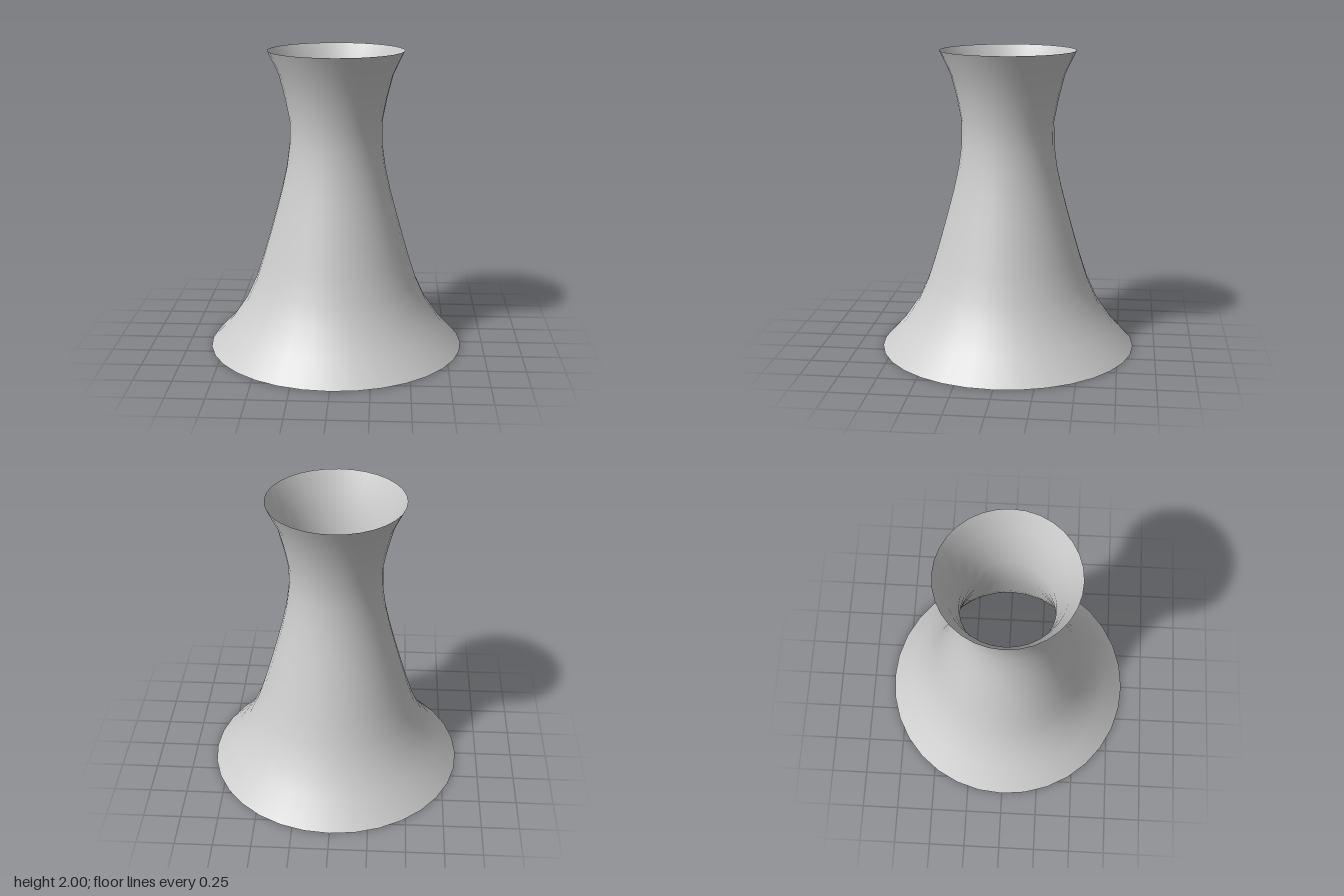
import * as THREE from 'three';

export function createModel() {
  const group = new THREE.Group();
  group.name = 'flaredTower';

  const lightGrey = new THREE.MeshStandardMaterial({ color: 0xcccccc, side: THREE.DoubleSide });
  lightGrey.name = 'lightGrey';

  // Shell radii at evenly spaced heights: wide foot, narrow throat, flared rim
  const radii = [0.855, 0.714, 0.61, 0.541, 0.491, 0.446, 0.403, 0.362, 0.328, 0.307, 0.305, 0.335, 0.374, 0.447];
  const height = 2;
  const profile = radii.map((r, i) => new THREE.Vector2(r, (height * i) / (radii.length - 1)));

  // Thin open shell, smooth around 32 sides
  const shell = new THREE.Mesh(new THREE.LatheGeometry(profile, 32), lightGrey);
  shell.name = 'towerShell';
  group.add(shell);

  return group;
}
